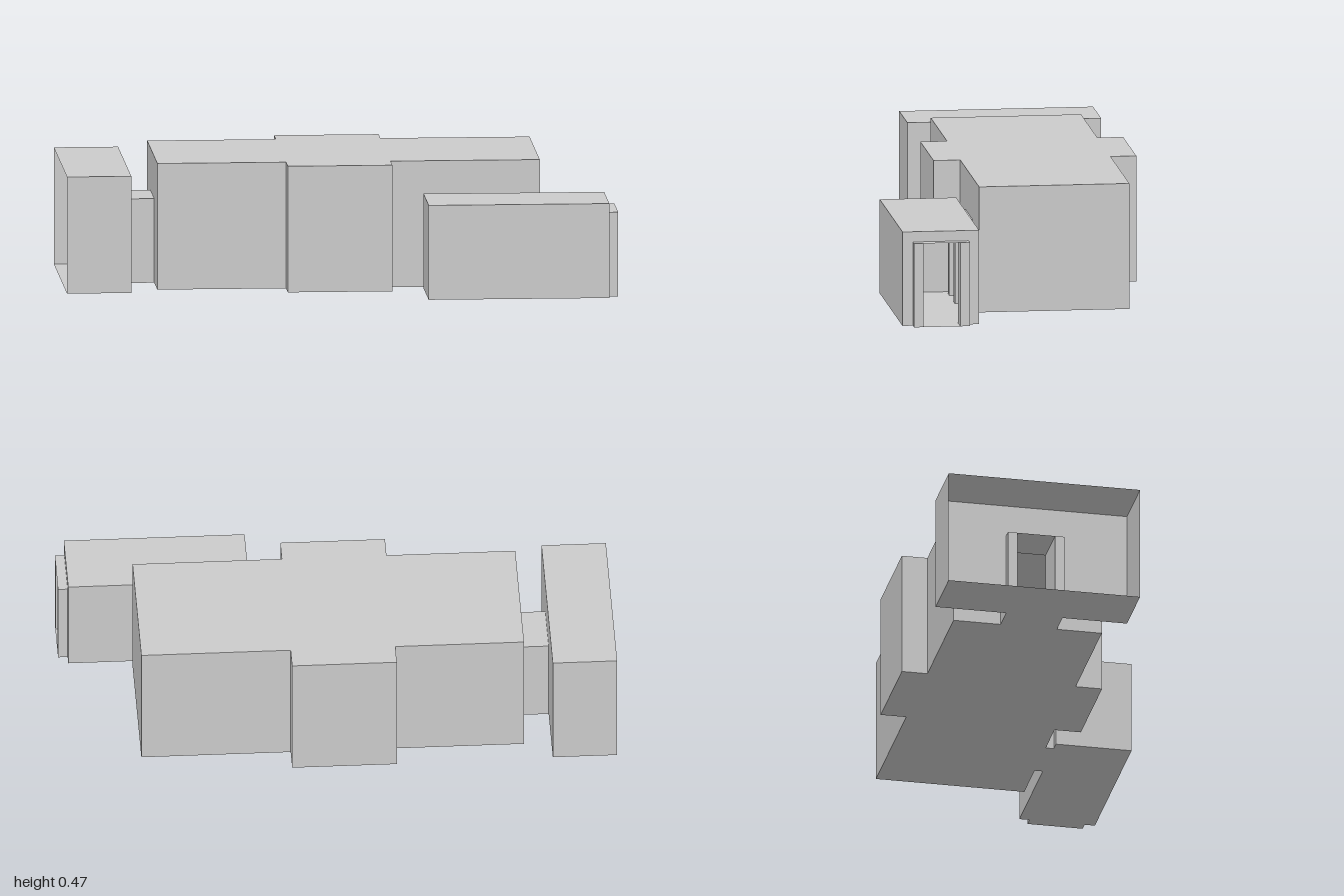
import * as THREE from 'three';

const material = new THREE.MeshStandardMaterial({ color: 0xcccccc, side: THREE.DoubleSide, flatShading: true });
const DOOR_HEIGHT = 0.31;
const JAMB = 0.035; // thickness of the doorway side walls

function addMesh(parent, geometry, name) {
  const mesh = new THREE.Mesh(geometry, material);
  mesh.name = name;
  parent.add(mesh);
  return mesh;
}

// Flat slab of an [x, z] outline at height y
function addSlab(parent, outline, y, name) {
  const shape = new THREE.Shape(outline.map(([x, z]) => new THREE.Vector2(x, -z)));
  const geometry = new THREE.ShapeGeometry(shape);
  geometry.rotateX(-Math.PI / 2);
  addMesh(parent, geometry, name).position.y = y;
}

// Thin wall from p to q; door = [start, end] along the wall, notched from the floor
function addWall(parent, p, q, height, door) {
  const dx = q[0] - p[0], dz = q[1] - p[1];
  const length = Math.hypot(dx, dz);
  const points = [[0, 0]];
  if (door) {
    const [a, b] = door;
    points.push([a, 0], [a, DOOR_HEIGHT], [b, DOOR_HEIGHT], [b, 0]);
  }
  points.push([length, 0], [length, height], [0, height]);
  const shape = new THREE.Shape(points.map(([s, y]) => new THREE.Vector2(s, y)));
  const wall = addMesh(parent, new THREE.ShapeGeometry(shape), 'wall');
  wall.position.set(p[0], 0, p[1]);
  wall.rotation.y = -Math.atan2(dz, dx);
}

// Hollow room; options.doors maps edge index to a door span, options.open skips an edge
function makeRoom(name, outline, height, { doors = {}, open = -1 } = {}) {
  const room = new THREE.Group();
  room.name = name;
  addSlab(room, outline, 0, 'floor');
  addSlab(room, outline, height, 'ceiling');
  outline.forEach((p, i) => {
    if (i !== open) addWall(room, p, outline[(i + 1) % outline.length], height, doors[i]);
  });
  return room;
}

const rectangle = (x0, x1, z0, z1) => [[x0, z0], [x1, z0], [x1, z1], [x0, z1]];

// Open-ended doorway with thick side walls, running along 'x' or 'z'
function makeDoorway(name, x0, x1, z0, z1, along) {
  const doorway = new THREE.Group();
  doorway.name = name;
  const outline = rectangle(x0, x1, z0, z1);
  addSlab(doorway, outline, 0, 'doorwayFloor');
  addSlab(doorway, outline, DOOR_HEIGHT, 'doorwayCeiling');
  const cx = (x0 + x1) / 2, cz = (z0 + z1) / 2;
  for (const side of [-1, 1]) {
    const alongX = along === 'x';
    const size = alongX ? [x1 - x0, JAMB] : [JAMB, z1 - z0];
    const jamb = addMesh(doorway, new THREE.BoxGeometry(size[0], DOOR_HEIGHT, size[1]), 'doorwayJamb');
    jamb.position.set(
      alongX ? cx : cx + side * ((x1 - x0) - JAMB) / 2,
      DOOR_HEIGHT / 2,
      alongX ? cz + side * ((z1 - z0) - JAMB) / 2 : cz
    );
  }
  return doorway;
}

export function createModel() {
  const model = new THREE.Group();
  model.name = 'roomPlan';

  // Cross-shaped main hall
  const hall = [
    [-0.665, -0.385], [-0.195, -0.385], [-0.195, -0.48], [0.187, -0.48],
    [0.187, -0.385], [0.732, -0.385], [0.732, 0.167], [0.187, 0.167],
    [0.187, 0.265], [-0.195, 0.265], [-0.195, 0.167], [-0.665, 0.167],
  ];
  model.add(makeRoom('mainHall', hall, 0.465, {
    doors: { 6: [0.222, 0.352], 11: [0.202, 0.342] },
  }));

  // End room, fully open on its outer side
  model.add(makeRoom('endRoom', rectangle(-1, -0.765, -0.472, 0.24), 0.43, {
    doors: { 1: [0.297, 0.437] }, open: 3,
  }));

  // Front side room
  model.add(makeRoom('sideRoom', rectangle(0.305, 0.965, 0.197, 0.478), 0.348, {
    doors: { 0: [0.075, 0.205], 1: [0.073, 0.208] },
  }));

  // Doorways reach slightly into the rooms they join
  model.add(makeDoorway('endDoorway', -0.8, -0.63, -0.21, 0, 'x'));
  model.add(makeDoorway('sideDoorway', 0.345, 0.545, 0.132, 0.232, 'z'));
  model.add(makeDoorway('outerDoorway', 0.93, 1, 0.235, 0.44, 'x'));
  return model;
}
